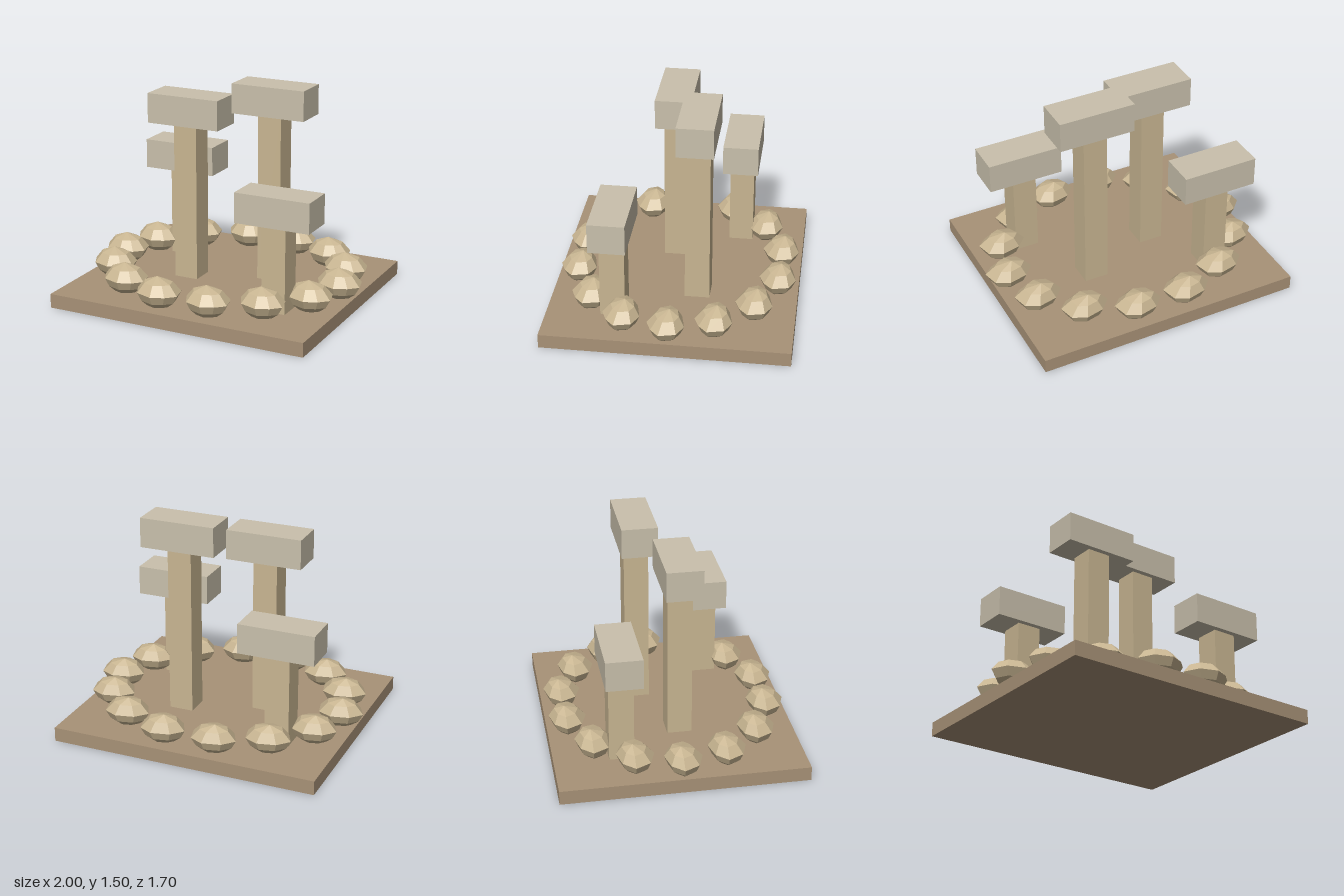
import * as THREE from 'three';

const mat = (name, color) => new THREE.MeshStandardMaterial({ name, color, flatShading: true });

// Faceted boulder: one irregular outline (x, z) repeated in shrinking rings
function boulderGeometry() {
  const outline = [[-0.163, -0.02], [-0.09, -0.1], [0.04, -0.13], [0.135, -0.085],
    [0.163, 0.03], [0.1, 0.09], [0.01, 0.127], [-0.11, 0.085]];
  // height, scale, shift x, shift z
  const rings = [[0.1, 0, 0, 0], [0.105, 0.5, 0, 0], [0.142, 0.8, 0, 0], [0.2, 1, 0, 0],
    [0.265, 0.64, -0.005, -0.01], [0.3, 0, -0.015, -0.025]];
  const n = outline.length, pos = [], index = [];
  for (const [y, s, dx, dz] of rings)
    outline.forEach(([x, z]) => pos.push(x * s + dx, y, z * s + dz));
  for (let r = 0; r < rings.length - 1; r++) {
    for (let i = 0; i < n; i++) {
      const a = r * n + i, b = r * n + (i + 1) % n, c = b + n, d = a + n;
      if (rings[r][1] > 0) index.push(b, a, d);
      if (rings[r + 1][1] > 0) index.push(b, d, c);
    }
  }
  const g = new THREE.BufferGeometry();
  g.setAttribute('position', new THREE.Float32BufferAttribute(pos, 3));
  g.setIndex(index);
  g.computeVertexNormals();
  return g;
}

export function createModel() {
  const model = new THREE.Group();
  model.name = 'stoneCircle';
  const earth = mat('earth', 0xa89277);
  const sandstone = mat('sandstone', 0xc9b692);
  const paleStone = mat('paleStone', 0xc9c0ac);

  const box = (parent, name, material, w, h, d, x, bottom, z) => {
    const m = new THREE.Mesh(new THREE.BoxGeometry(w, h, d), material);
    m.name = name;
    m.position.set(x, bottom + h / 2, z);
    parent.add(m);
  };

  box(model, 'base', earth, 1.9, 0.1, 1.7, 0, 0, 0);

  // Pillars with capstones: x, z, pillar top
  const pillars = [[-0.54, -0.388, 0.74], [-0.27, 0.057, 1.21],
    [0.272, -0.155, 1.29], [0.563, 0.39, 0.702]];
  for (const [x, z, top] of pillars) {
    const g = new THREE.Group();
    g.name = 'cappedPillar';
    box(g, 'pillar', sandstone, 0.172, top - 0.1, 0.172, x, 0.1, z);
    box(g, 'capstone', paleStone, 0.54, 0.21, 0.25, x, top, z);
    model.add(g);
  }

  // Ring of boulders
  const geo = boulderGeometry();
  const count = 14;
  for (let i = 0; i < count; i++) {
    const a = (i / count) * Math.PI * 2;
    const rock = new THREE.Mesh(geo, sandstone);
    rock.name = 'boulder';
    rock.position.set(0.837 * Math.cos(a), 0, 0.72 * Math.sin(a));
    model.add(rock);
  }
  return model;
}
